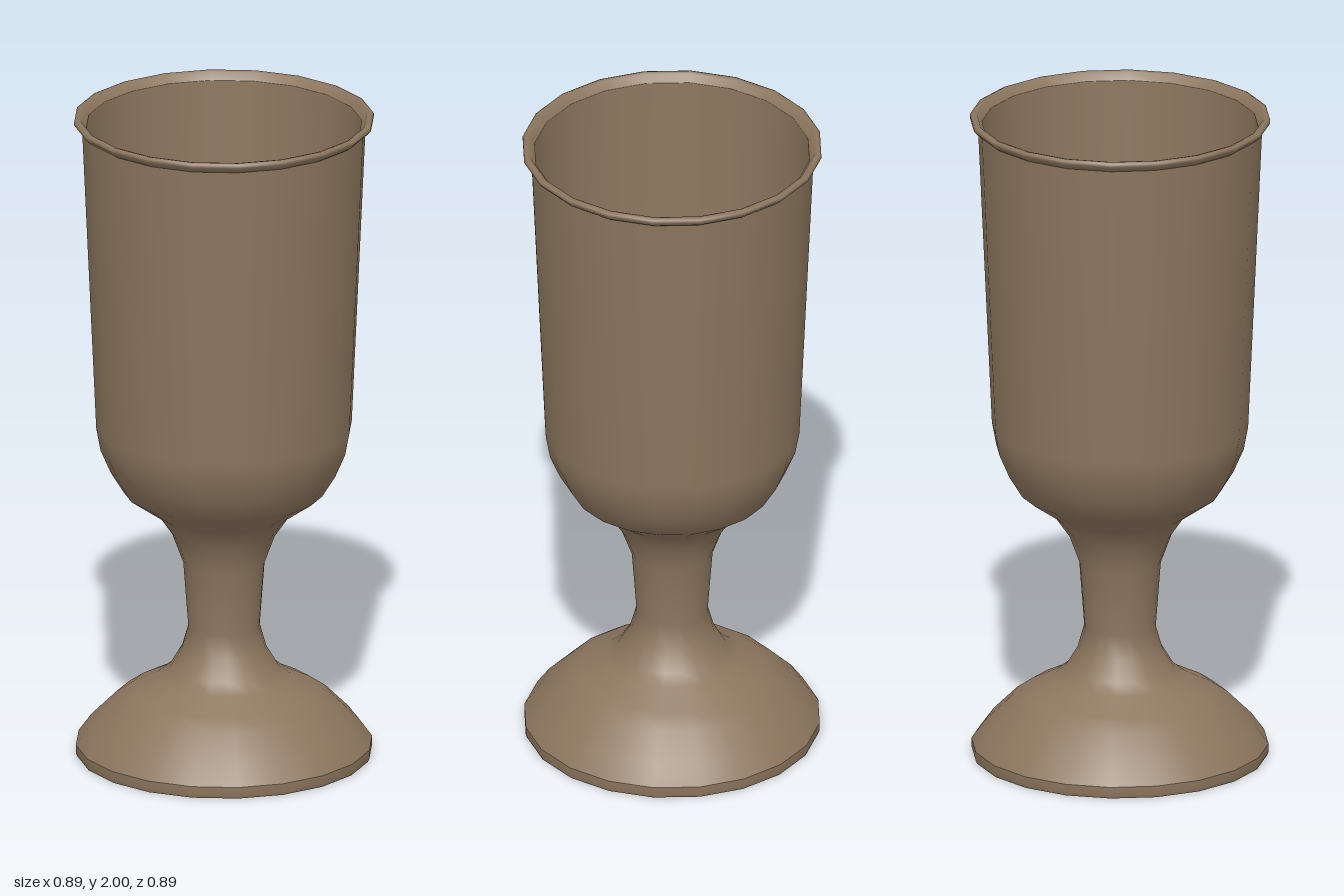
import * as THREE from 'three';

const SIDES = 20;
const PHASE = Math.PI / SIDES;

export function createModel() {
  const goblet = new THREE.Group();
  goblet.name = 'goblet';
  const clay = new THREE.MeshStandardMaterial({ color: 0x8c765e });
  clay.name = 'brown clay';

  // Turns a profile of [radius, height] pairs around the y axis
  function turn(name, profile) {
    const points = profile.map(([r, y]) => new THREE.Vector2(r, y));
    const mesh = new THREE.Mesh(new THREE.LatheGeometry(points, SIDES, PHASE), clay);
    mesh.name = name;
    goblet.add(mesh);
  }

  // Flat underside and upright edge of the foot
  turn('footUnderside', [[0, 0], [0.44, 0]]);
  turn('footEdge', [[0.44, 0], [0.444, 0.01], [0.444, 0.036]]);

  // Domed foot, waisted stem and outside of the bowl
  turn('footStemAndBowl', [
    [0.444, 0.036], [0.405, 0.09], [0.33, 0.165], [0.28, 0.2], [0.2, 0.24],
    [0.163, 0.27], [0.127, 0.33], [0.107, 0.4], [0.122, 0.6], [0.155, 0.69],
    [0.2, 0.755], [0.3, 0.825], [0.34, 0.89], [0.37, 0.96], [0.383, 1.03],
    [0.425, 1.965],
  ]);

  // Rolled lip
  turn('lip', [
    [0.425, 1.965], [0.436, 1.972], [0.449, 1.986], [0.449, 1.996],
    [0.44, 2], [0.428, 1.997], [0.413, 1.975],
  ]);

  // Inside of the bowl
  turn('bowlInside', [
    [0.413, 1.975], [0.366, 1.04], [0.352, 0.97], [0.32, 0.905],
    [0.28, 0.85], [0.18, 0.81], [0, 0.79],
  ]);

  return goblet;
}
